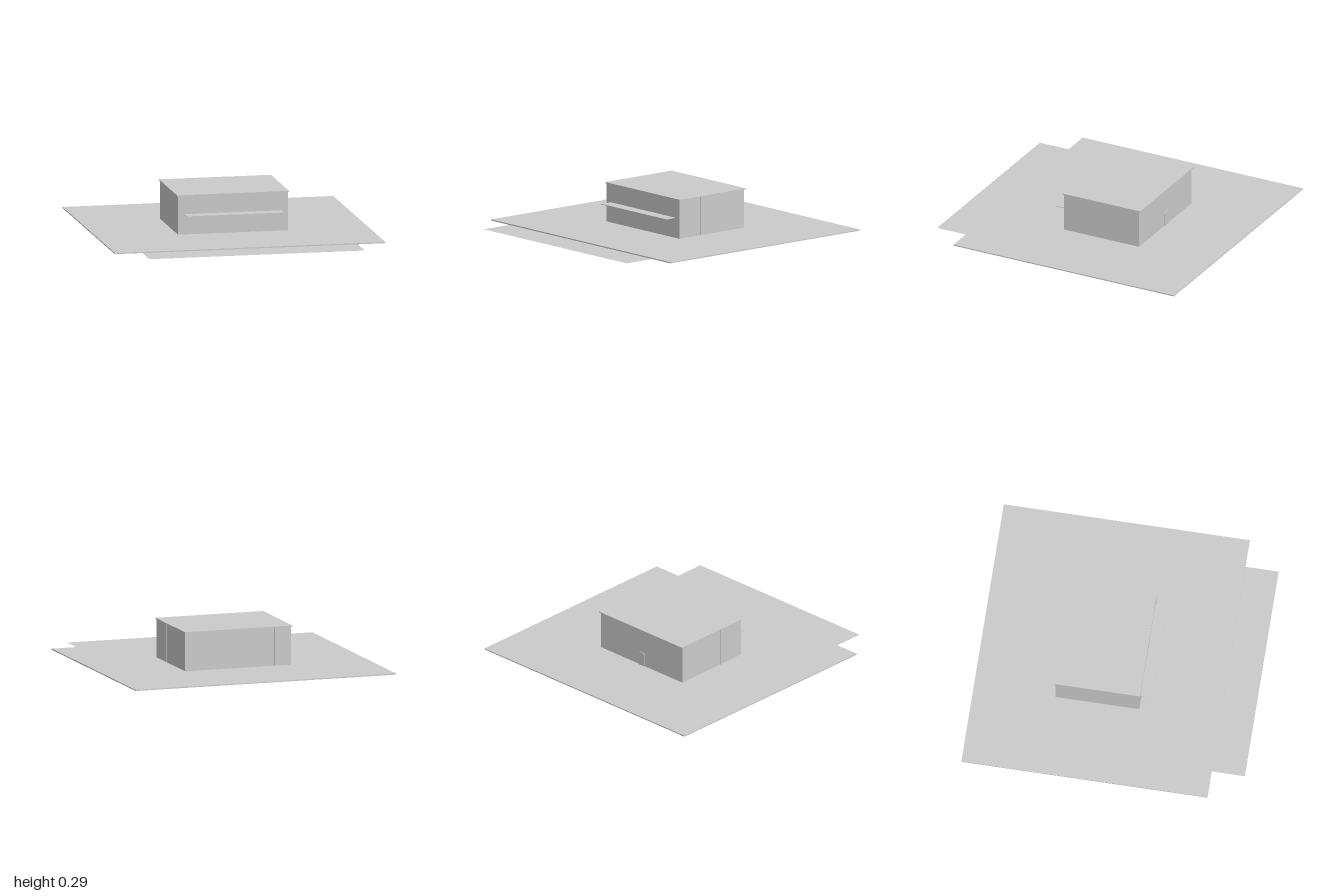
import * as THREE from 'three';

export function createModel() {
  const model = new THREE.Group();
  const grey = new THREE.MeshStandardMaterial({ color: 0xcccccc, flatShading: true });
  const thin = grey.clone();
  thin.side = THREE.DoubleSide;

  // Box given by its extents along each axis
  function block(name, [x0, x1], [y0, y1], [z0, z1]) {
    const mesh = new THREE.Mesh(new THREE.BoxGeometry(x1 - x0, y1 - y0, z1 - z0), grey);
    mesh.position.set((x0 + x1) / 2, (y0 + y1) / 2, (z0 + z1) / 2);
    mesh.name = name;
    model.add(mesh);
  }

  const floor = 0.008, wallTop = 0.284;

  // Ground: main slab and a flat strip in front of it
  block('groundSlab', [-0.98, 0.98], [0, floor], [-1, 0.763]);
  const strip = new THREE.Mesh(new THREE.PlaneGeometry(1.56, 0.237).rotateX(-Math.PI / 2), thin);
  strip.position.set(0, 0, 0.8815);
  strip.name = 'frontStrip';
  model.add(strip);

  // Building with a slightly overhanging flat roof
  block('building', [-0.398, 0.398], [floor, wallTop], [-0.415, 0.185]);
  block('roof', [-0.405, 0.405], [wallTop, 0.292], [-0.427, 0.19]);

  // Canopy over the front
  block('canopy', [-0.352, 0.352], [0.15, 0.154], [0.185, 0.273]);

  // Narrow wall joints on both sides and on the back
  for (const side of [-1, 1]) {
    const x = side * 0.399;
    block('sideJoint', [x - 0.002, x + 0.002], [floor, wallTop], [-0.022, -0.012]);
  }
  for (const x of [-0.015, -0.28])
    block('backJoint', [x - 0.005, x + 0.005], [floor, wallTop], [-0.417, -0.413]);

  // Low box against the back wall
  block('backBox', [-0.035, 0.02], [floor, 0.11], [-0.421, -0.414]);

  return model;
}
